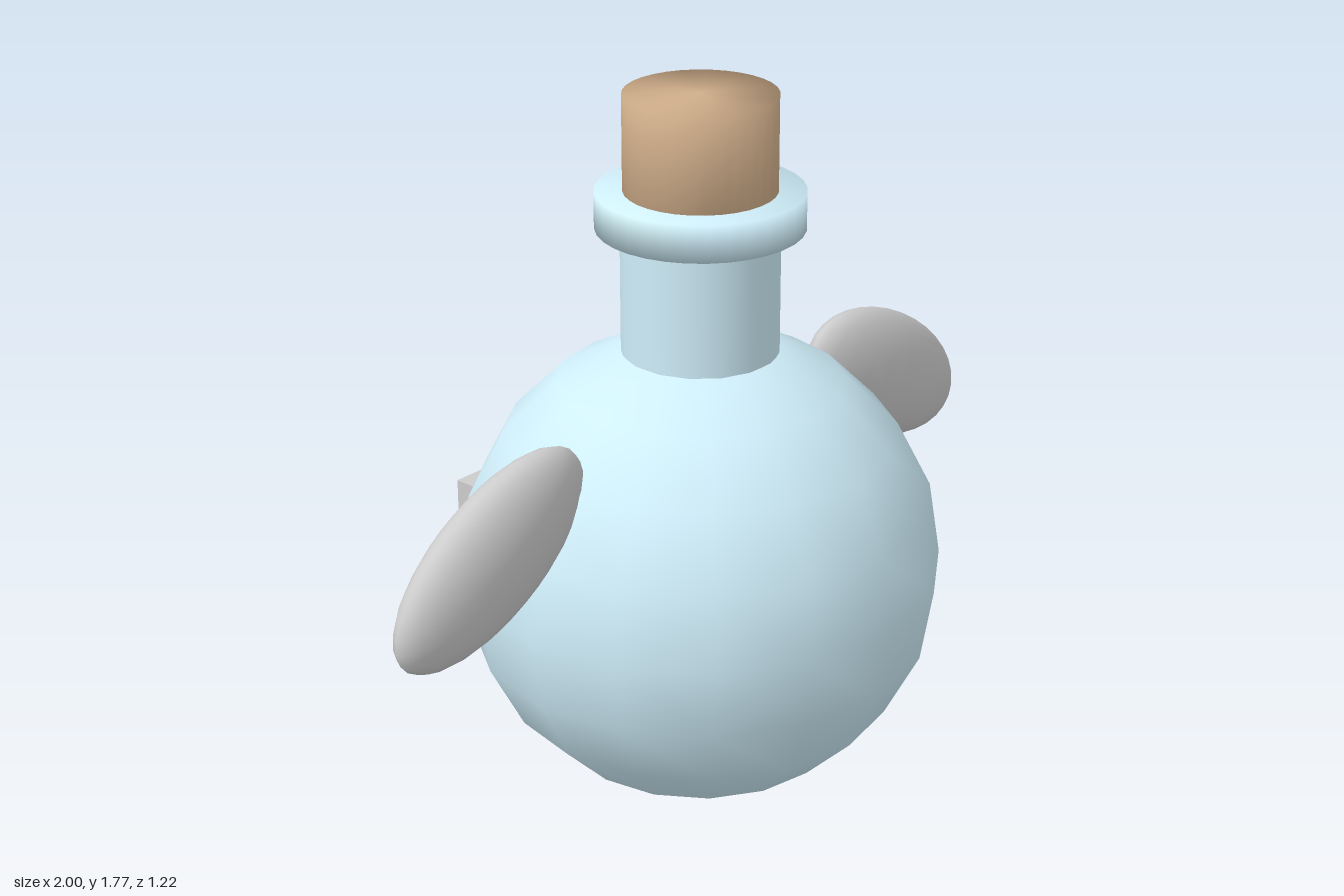
import * as THREE from 'three';
import { mergeVertices } from 'three/addons/utils/BufferGeometryUtils.js';

const material = (color) => new THREE.MeshStandardMaterial({ color });

// Cylinder whose rims share normals, giving softly shaded caps
function softCylinder(radius, y0, y1) {
  let geo = new THREE.CylinderGeometry(radius, radius, y1 - y0, 32);
  geo.deleteAttribute('uv');
  geo.deleteAttribute('normal');
  geo = mergeVertices(geo, 1e-4);
  geo.computeVertexNormals();
  geo.translate(0, (y0 + y1) / 2, 0);
  return geo;
}

export function createModel() {
  const group = new THREE.Group();
  const add = (name, geo, mat, x = 0, y = 0, z = 0, parent = group) => {
    const mesh = new THREE.Mesh(geo, mat);
    mesh.name = name;
    mesh.position.set(x, y, z);
    parent.add(mesh);
    return mesh;
  };
  const glass = material(0xcfeefa);
  const corkBrown = material(0xd0ae8a);
  const yellow = material(0xf8e78a);
  const grey = material(0xcccccc);
  const cz = 0.02; // bottle axis sits slightly forward

  // Bottle
  add('bottleBody', new THREE.SphereGeometry(0.588, 16, 10), glass, 0, 0.595, cz);
  add('bottleNeck', new THREE.CylinderGeometry(0.188, 0.188, 0.4, 32, 1, true), glass, 0, 1.3, cz);
  add('bottleRim', softCylinder(0.247, 1.455, 1.545), glass, 0, 0, cz);
  add('cork', softCylinder(0.181, 1.5, 1.775), corkBrown, 0, 0, cz);

  // Wings: flattened ellipsoids drooping outwards
  for (const side of [1, -1]) {
    const wing = add(side > 0 ? 'leftWing' : 'rightWing',
      new THREE.SphereGeometry(1, 24, 16), grey, side * 0.71, 0.862, cz);
    wing.scale.set(0.322, 0.16, 0.084);
    wing.rotation.z = -side * THREE.MathUtils.degToRad(29);
  }

  // Plate set into the back of the bottle
  add('backPlate', new THREE.BoxGeometry(0.48, 0.285, 0.16), grey, 0, 0.558, -0.498);

  // Slanted emblem made of two slightly offset bars
  const bolt = new THREE.Group();
  bolt.name = 'bolt';
  bolt.position.set(0, 0.558, -0.592);
  bolt.rotation.z = THREE.MathUtils.degToRad(32);
  group.add(bolt);
  for (const s of [1, -1]) {
    add(s > 0 ? 'upperBar' : 'lowerBar', new THREE.BoxGeometry(0.058, 0.172, 0.046),
      yellow, s * 0.008, s * 0.086, 0, bolt);
  }
  return group;
}
